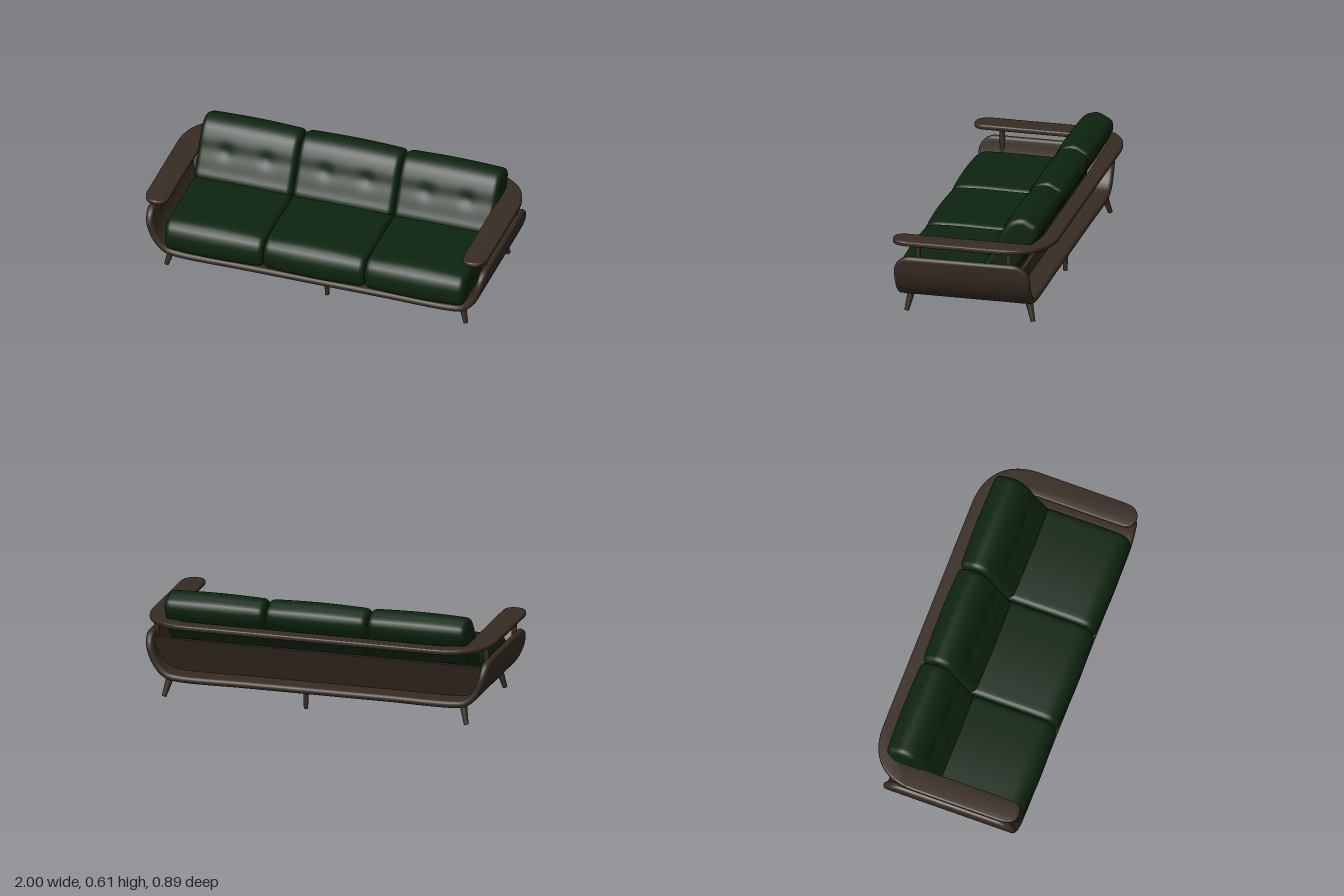
import * as THREE from 'three';
import { toCreasedNormals } from 'three/addons/utils/BufferGeometryUtils.js';

const wood = new THREE.MeshStandardMaterial({ color: 0x372c23 });
wood.name = 'dark walnut';
const fabric = new THREE.MeshStandardMaterial({ color: 0x0d240f });
fabric.name = 'dark green fabric';

// Smooth skin over a row of closed rings with equal point counts
function skin(rings) {
  const n = rings[0].length, index = [];
  for (let i = 0; i < rings.length - 1; i++) {
    for (let j = 0; j < n; j++) {
      const k = (j + 1) % n;
      const a = i * n + j, b = i * n + k, c = a + n, d = b + n;
      index.push(a, b, d, a, d, c);
    }
  }
  const g = new THREE.BufferGeometry();
  g.setAttribute('position', new THREE.Float32BufferAttribute(rings.flat(2), 3));
  g.setIndex(index);
  g.computeVertexNormals();
  return g;
}

// Bent shell: floor and both sides in one curved sheet with rounded corners
function shellGeometry() {
  const half = [[0.977, 0.362], [0.957, 0.25], [0.918, 0.17], [0.865, 0.122], [0.8, 0.11], [0.4, 0.11]];
  const v = ([x, y]) => new THREE.Vector3(x, y, 0);
  const path = new THREE.CatmullRomCurve3([
    ...half.map(([x, y]) => v([-x, y])), v([0, 0.11]), ...half.reverse().map(v)], false, 'centripetal');
  path.arcLengthDivisions = 800;
  const len = path.getLength(), W = 0.389, H = 0.02, R = 0.1, zMid = 0.044;
  const tip = [0, 0.002, 0.006, 0.012, 0.02, 0.035, 0.05, 0.075, 0.1];
  const stops = [...tip];
  for (let i = 1; i < 70; i++) stops.push(0.1 + (len - 0.2) * i / 70);
  stops.push(...tip.map(s => len - s).reverse());
  return skin(stops.map(s => {
    const u = Math.min(1, Math.max(0, s / len));
    const p = path.getPointAt(u), t = path.getTangentAt(u);
    const e = Math.max(0, Math.min(s, len - s));
    const w = e < R ? W - R + Math.sqrt(R * R - (R - e) ** 2) : W;
    const h = e < H ? Math.sqrt(H * H - (H - e) ** 2) : H;
    const ring = [];
    for (const side of [1, -1]) {
      for (let k = 0; k <= 9; k++) {
        const a = Math.PI * k / 9;
        const n = h * Math.cos(a) * side;
        ring.push([p.x - t.y * n, p.y + t.x * n, zMid + side * (w - h + h * Math.sin(a))]);
      }
    }
    return ring;
  }));
}

// Cushion: a (z, y) side profile swept along x, puffed and rounded at the ends
function cushionGeometry(profile, length, puff, dent = () => 0) {
  const curve = new THREE.CatmullRomCurve3(
    profile.map(([z, y]) => new THREE.Vector3(z, y, 0)), true, 'centripetal');
  const N = 64, L = length / 2, r = 0.03;
  const c = profile.reduce((m, [z, y]) => [m[0] + z / profile.length, m[1] + y / profile.length], [0, 0]);
  const pts = [];
  for (let j = 0; j < N; j++) {
    const p = curve.getPointAt(j / N), t = curve.getTangentAt(j / N);
    pts.push({ z: p.x, y: p.y, nz: t.y, ny: -t.x });
  }
  const end = [[L, r, 0], [L, r, 0.6]];
  for (let k = 0; k <= 5; k++) {
    const a = Math.PI / 2 * k / 5;
    end.push([L - r + r * Math.cos(a), r - r * Math.sin(a), 1]);
  }
  const stations = [...end];
  for (let i = 1; i < 28; i++) stations.push([(L - r) * (1 - 2 * i / 28), 0, 1]);
  stations.push(...end.map(([x, d, s]) => [-x, d, s]).reverse());
  return skin(stations.map(([x, inset, s]) => pts.map(p => {
    const d = puff * Math.cos(Math.PI * x / (2 * L)) - inset - (p.nz > 0.2 ? dent(x, p.y) : 0);
    return [x, c[1] + (p.y + p.ny * d - c[1]) * s, c[0] + (p.z + p.nz * d - c[0]) * s];
  })));
}

// Armrests and back rail as one flat horseshoe with softened edges
function railGeometry() {
  const b = 0.008, s = new THREE.Shape();
  s.moveTo(-0.7, 0.445 - b);
  s.lineTo(0.7, 0.445 - b);
  s.bezierCurveTo(0.87, 0.445 - b, 1 - b, 0.35, 1 - b, 0.15);
  s.lineTo(1 - b, -0.35);
  s.bezierCurveTo(1 - b, -0.41, 0.965, -0.445 + b, 0.928, -0.445 + b);
  s.bezierCurveTo(0.895, -0.445 + b, 0.865 + b, -0.42, 0.865 + b, -0.37);
  s.lineTo(0.865 + b, 0.2);
  s.bezierCurveTo(0.865 + b, 0.3, 0.82, 0.355 + b, 0.7, 0.355 + b);
  s.lineTo(-0.7, 0.355 + b);
  s.bezierCurveTo(-0.82, 0.355 + b, -0.865 - b, 0.3, -0.865 - b, 0.2);
  s.lineTo(-0.865 - b, -0.37);
  s.bezierCurveTo(-0.865 - b, -0.42, -0.895, -0.445 + b, -0.928, -0.445 + b);
  s.bezierCurveTo(-0.965, -0.445 + b, -1 + b, -0.41, -1 + b, -0.35);
  s.lineTo(-1 + b, 0.15);
  s.bezierCurveTo(-1 + b, 0.35, -0.87, 0.445 - b, -0.7, 0.445 - b);
  const g = new THREE.ExtrudeGeometry(s, {
    depth: 0.028 - 2 * b, bevelEnabled: true, bevelSize: b, bevelThickness: b, bevelSegments: 3, curveSegments: 18 });
  g.rotateX(-Math.PI / 2).translate(0, 0.427 + b, 0);
  return toCreasedNormals(g, 0.7);
}

// Back board: fills the shell between the sides and leans backwards
function backBoardGeometry() {
  const half = [[0.8, 0.12], [0.87, 0.13], [0.92, 0.175], [0.95, 0.25], [0.962, 0.33]];
  const outline = [...half, ...half.map(([x, y]) => [-x, y]).reverse()];
  const s = new THREE.Shape(outline.map(p => new THREE.Vector2(...p)));
  const g = new THREE.ExtrudeGeometry(s, { depth: 0.025, bevelEnabled: false });
  const p = g.attributes.position;
  for (let i = 0; i < p.count; i++) p.setZ(i, p.getZ(i) - 0.225 - (p.getY(i) - 0.13) * 0.4);
  g.computeVertexNormals();
  return g;
}

// Round bar between two points
function bar(from, to, r0, r1) {
  const a = new THREE.Vector3(...from), b = new THREE.Vector3(...to);
  const dir = b.clone().sub(a);
  const g = new THREE.CylinderGeometry(r1, r0, dir.length(), 20);
  g.applyQuaternion(new THREE.Quaternion().setFromUnitVectors(new THREE.Vector3(0, 1, 0), dir.normalize()));
  const m = a.add(b).multiplyScalar(0.5);
  return g.translate(m.x, m.y, m.z);
}

export function createModel() {
  const sofa = new THREE.Group();
  sofa.name = 'sofa';
  const add = (name, geometry, material, x = 0) => {
    const mesh = new THREE.Mesh(geometry, material);
    mesh.name = name;
    mesh.position.x = x;
    sofa.add(mesh);
  };

  add('shell', shellGeometry(), wood);
  add('backBoard', backBoardGeometry(), wood);
  add('armAndBackRail', railGeometry(), wood);

  // Posts under the arms and splayed corner legs
  for (const side of [1, -1]) {
    for (const z of [0.296, -0.222]) {
      add('armPost', bar([side * 0.957, 0.27, z], [side * 0.957, 0.435, z], 0.015, 0.015), wood);
    }
    add('frontLeg', bar([side * 0.877, 0.004, 0.381], [side * 0.85, 0.11, 0.361], 0.013, 0.021), wood);
    add('rearLeg', bar([side * 0.877, 0.004, -0.341], [side * 0.85, 0.11, -0.311], 0.013, 0.021), wood);
  }
  // Upright middle legs
  for (const z of [0.37, -0.32]) {
    add('middleLeg', bar([0.06, 0.004, z], [0.06, 0.11, z], 0.012, 0.015), wood);
  }

  // Seat and back cushions
  const seat = [[0.40, 0.128], [0.425, 0.15], [0.435, 0.205], [0.425, 0.265], [0.39, 0.298], [0.3, 0.308],
    [0.1, 0.308], [-0.12, 0.302], [-0.2, 0.285], [-0.215, 0.25], [-0.18, 0.15], [-0.15, 0.128], [0.1, 0.127]];
  const back = [[-0.055, 0.31], [-0.08, 0.36], [-0.118, 0.435], [-0.16, 0.52], [-0.2, 0.573], [-0.235, 0.592],
    [-0.28, 0.598], [-0.325, 0.578], [-0.358, 0.555], [-0.362, 0.505], [-0.325, 0.435], [-0.275, 0.355],
    [-0.235, 0.3], [-0.19, 0.268], [-0.1, 0.27]];
  const tuft = (x, y) => {
    const dy = (y - 0.46) / 0.035;
    const button = (Math.abs(x) - 0.12) / 0.04;
    return Math.exp(-dy * dy) * (0.004 + 0.01 * Math.exp(-button * button));
  };
  const columns = [[-0.877, -0.301], [-0.299, 0.292], [0.294, 0.877]];
  for (const [x0, x1] of columns) {
    const mid = (x0 + x1) / 2;
    add('seatCushion', cushionGeometry(seat, x1 - x0, 0.011), fabric, mid);
    add('backCushion', cushionGeometry(back, x1 - x0 - 0.006, 0.007, tuft), fabric, mid);
  }
  return sofa;
}
